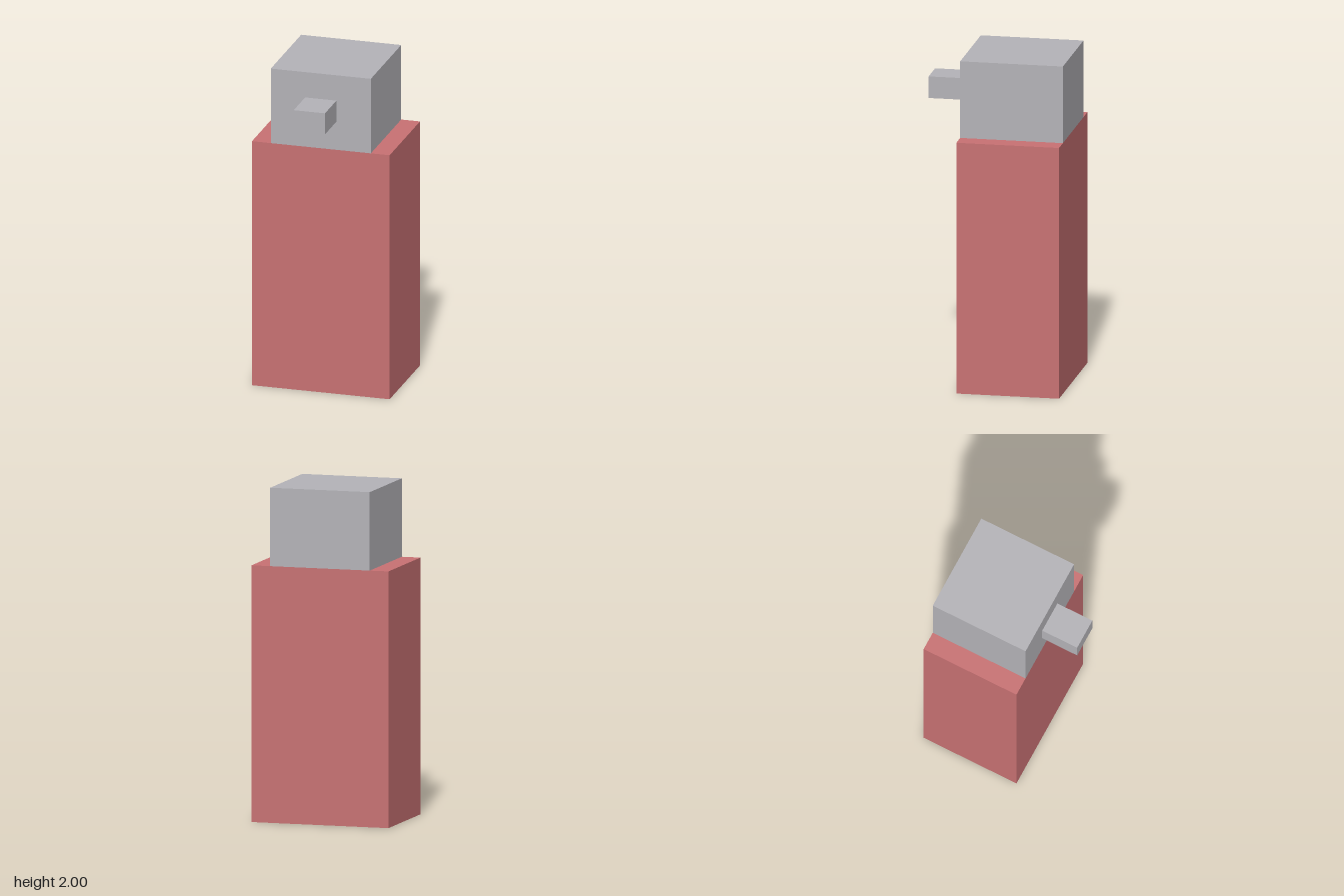
import * as THREE from 'three';

export function createModel() {
  const red = new THREE.MeshStandardMaterial({ name: 'red', color: 0xc87173 });
  const grey = new THREE.MeshStandardMaterial({ name: 'grey', color: 0xb4b3b8 });

  const model = new THREE.Group();
  model.name = 'dispenser';

  // Box resting at height y, with its back face at z
  function addBox(name, material, [w, h, d], y, z) {
    const mesh = new THREE.Mesh(new THREE.BoxGeometry(w, h, d), material);
    mesh.name = name;
    mesh.position.set(0, y + h / 2, z + d / 2);
    model.add(mesh);
  }

  addBox('body', red, [0.85, 1.532, 0.619], 0, -0.3095);
  addBox('head', grey, [0.618, 0.468, 0.619], 1.532, -0.3095);
  addBox('spout', grey, [0.193, 0.132, 0.233], 1.709, 0.3095);

  // The whole model is turned very slightly about the vertical
  model.rotation.y = -0.0105;
  model.position.set(-0.001, 0, -0.116);

  const root = new THREE.Group();
  root.name = 'model';
  root.add(model);
  return root;
}
